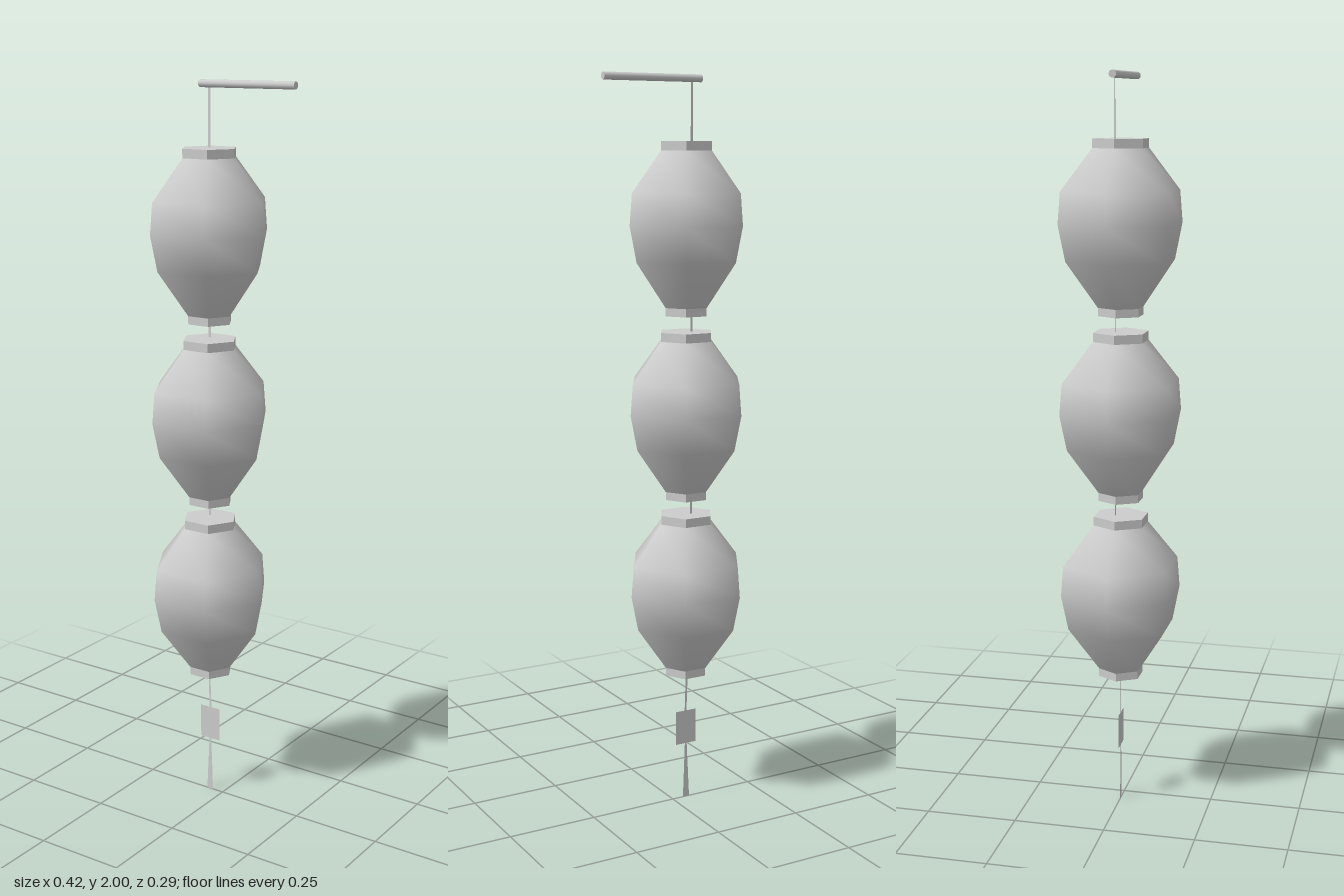
import * as THREE from 'three';

export function createModel() {
  const model = new THREE.Group();
  model.name = 'hangingLanterns';
  const paper = new THREE.MeshStandardMaterial({ color: 0xcccccc, side: THREE.DoubleSide });
  paper.name = 'pale grey';

  const CX = -0.041; // lantern axis
  const CORD_Z = -0.013; // plane of the rod and the hanging cords

  const add = (parent, name, geometry, x = 0, y = 0, z = 0) => {
    const mesh = new THREE.Mesh(geometry, paper);
    mesh.name = name;
    mesh.position.set(x, y, z);
    parent.add(mesh);
    return mesh;
  };

  // Hexagonal end ring with crisp edges and corners on the x axis
  const hexRing = (radius, height) => {
    const g = new THREE.CylinderGeometry(radius, radius, height, 6, 1, false, Math.PI / 6).toNonIndexed();
    g.computeVertexNormals();
    return g;
  };

  // Flat strip facing z, given its lower and upper centre and widths
  const strip = (x0, y0, w0, x1, y1, w1) => new THREE.ShapeGeometry(new THREE.Shape([
    new THREE.Vector2(x0 - w0 / 2, y0), new THREE.Vector2(x0 + w0 / 2, y0),
    new THREE.Vector2(x1 + w1 / 2, y1), new THREE.Vector2(x1 - w1 / 2, y1),
  ]));

  // Lantern body: smooth six-sided lathe
  const profile = [
    [0.063, 0.022], [0.15, 0.144], [0.17, 0.24], [0.163, 0.324], [0.077, 0.433],
  ].map(([r, y]) => new THREE.Vector2(r, y));
  const bodyGeometry = new THREE.LatheGeometry(profile, 6, Math.PI / 2);
  const topRing = hexRing(0.077, 0.024);
  const bottomRing = hexRing(0.063, 0.024);

  const bases = [0.371, 0.8715, 1.372];
  bases.forEach((y, i) => {
    const lantern = new THREE.Group();
    lantern.name = `lantern${i + 1}`;
    lantern.position.set(CX, y, 0);
    add(lantern, 'lanternBody', bodyGeometry);
    add(lantern, 'topRing', topRing, 0, 0.445, 0);
    add(lantern, 'bottomRing', bottomRing, 0, 0.012, 0);
    model.add(lantern);

    // Cord up to the next lantern or to the rod
    const top = i < 2 ? bases[i + 1] : 1.99;
    add(model, 'cord', strip(-0.05, y + 0.457, 0.007, -0.05, top, 0.007), 0, 0, CORD_Z);
  });

  // Carrying rod
  const rod = add(model, 'rod', new THREE.CylinderGeometry(0.01, 0.01, 0.288, 12), 0.066, 1.99, CORD_Z);
  rod.rotation.z = Math.PI / 2;

  // Tail: cord, paper tag and tassel
  add(model, 'tailCord', strip(-0.041, 0.25, 0.006, -0.045, 0.372, 0.006));
  add(model, 'paperTag', strip(-0.042, 0.16, 0.064, -0.042, 0.257, 0.064));
  add(model, 'tassel', strip(-0.043, 0, 0.02, -0.042, 0.16, 0.006));

  return model;
}
